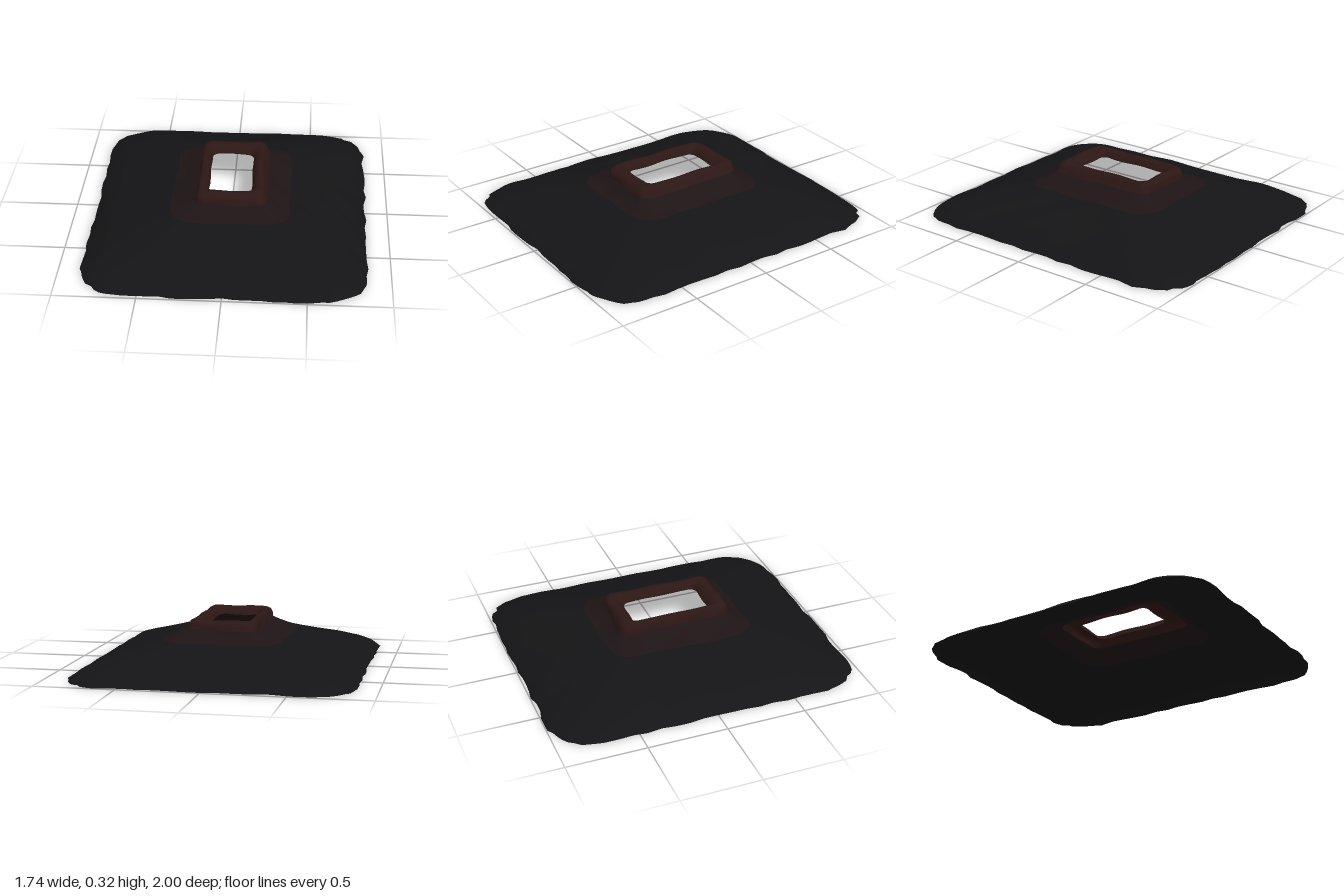
import * as THREE from 'three';

const ARC = 10, SIDE = 16;

// Smooth repeatable wobble for the hand-formed surface
const wobble = (x, z, s) =>
  Math.sin(x * 9 + s * 1.7) * Math.cos(z * 8 - s) * 0.6 + Math.sin(x * 23 - z * 19 + s * 3) * 0.4;

// Small seeded generator for the ragged hem
function seeded(seed) {
  return () => (seed = (seed * 16807) % 2147483647) / 2147483647;
}

// Points of one rounded rectangle in the xz plane
function outline({ x0, x1, z0, z1, r }) {
  const corners = [[x1 - r, z1 - r], [x0 + r, z1 - r], [x0 + r, z0 + r], [x1 - r, z0 + r]];
  const pts = [];
  corners.forEach(([cx, cz], k) => {
    for (let i = 0; i <= ARC; i++) {
      const a = (k + i / ARC) * Math.PI / 2;
      pts.push(new THREE.Vector2(cx + Math.cos(a) * r, cz + Math.sin(a) * r));
    }
    const end = pts[pts.length - 1];
    const [nx, nz] = corners[(k + 1) % 4];
    const a = (k + 1) * Math.PI / 2;
    const next = new THREE.Vector2(nx + Math.cos(a) * r, nz + Math.sin(a) * r);
    for (let i = 1; i < SIDE; i++) pts.push(end.clone().lerp(next, i / SIDE));
  });
  return pts;
}

// Skin a closed band through a list of rings, from outside to inside
function loft(rings, color, name) {
  const pos = [], index = [], rand = seeded(71);
  let n = 0;
  rings.forEach((ring) => {
    const pts = outline(ring);
    n = pts.length;
    pts.forEach((p) => {
      const s = 1 + (ring.rag || 0) * (rand() - 0.5);
      const w = ring.w ?? 0.006;
      pos.push(
        p.x * s + wobble(p.y, ring.y * 5, 2) * w,
        Math.max(0, ring.y + wobble(p.x, p.y, 1) * w),
        p.y * s + wobble(p.x, ring.y * 5, 4) * w);
    });
  });
  for (let i = 0; i < rings.length - 1; i++) {
    for (let j = 0; j < n; j++) {
      const a = i * n + j, b = i * n + (j + 1) % n;
      index.push(a, a + n, b, b, a + n, b + n);
    }
  }
  const geo = new THREE.BufferGeometry();
  geo.setAttribute('position', new THREE.Float32BufferAttribute(pos, 3));
  geo.setIndex(index);
  geo.computeVertexNormals();
  const mesh = new THREE.Mesh(geo, new THREE.MeshStandardMaterial({ color, side: THREE.DoubleSide }));
  mesh.name = name;
  return mesh;
}

const ring = (x0, x1, z0, z1, y, r, extra) => ({ x0, x1, z0, z1, y, r, ...extra });

export function createModel() {
  const group = new THREE.Group();
  group.name = 'hollowMound';

  // Broad sloping skirt, open underneath
  group.add(loft([
    ring(-0.865, 0.86, -0.99, 0.985, 0.008, 0.27, { rag: 0.022, w: 0.004 }),
    ring(-0.83, 0.83, -0.96, 0.95, 0.035, 0.27),
    ring(-0.78, 0.78, -0.89, 0.88, 0.065, 0.26),
    ring(-0.69, 0.69, -0.79, 0.79, 0.1, 0.25),
    ring(-0.57, 0.58, -0.68, 0.67, 0.135, 0.22),
    ring(-0.45, 0.47, -0.57, 0.55, 0.167, 0.19),
    ring(-0.36, 0.38, -0.47, 0.46, 0.193, 0.14),
  ], 0x141416, 'skirt'));

  // Reddish shoulder stepping up to the collar
  group.add(loft([
    ring(-0.36, 0.38, -0.47, 0.46, 0.193, 0.14),
    ring(-0.31, 0.33, -0.42, 0.41, 0.212, 0.11),
    ring(-0.25, 0.28, -0.38, 0.375, 0.238, 0.08),
    ring(-0.205, 0.235, -0.365, 0.355, 0.26, 0.06),
  ], 0x1e1415, 'shoulder'));

  // Raised collar with a rolled rim around the rectangular opening
  group.add(loft([
    ring(-0.205, 0.235, -0.365, 0.355, 0.26, 0.06),
    ring(-0.2, 0.22, -0.36, 0.35, 0.285, 0.055),
    ring(-0.192, 0.21, -0.35, 0.34, 0.31, 0.05),
    ring(-0.175, 0.19, -0.325, 0.31, 0.322, 0.045),
    ring(-0.155, 0.165, -0.295, 0.275, 0.315, 0.045),
    ring(-0.138, 0.145, -0.27, 0.25, 0.295, 0.045),
    ring(-0.13, 0.135, -0.26, 0.238, 0.27, 0.045),
  ], 0x2c1715, 'collar'));

  return group;
}
